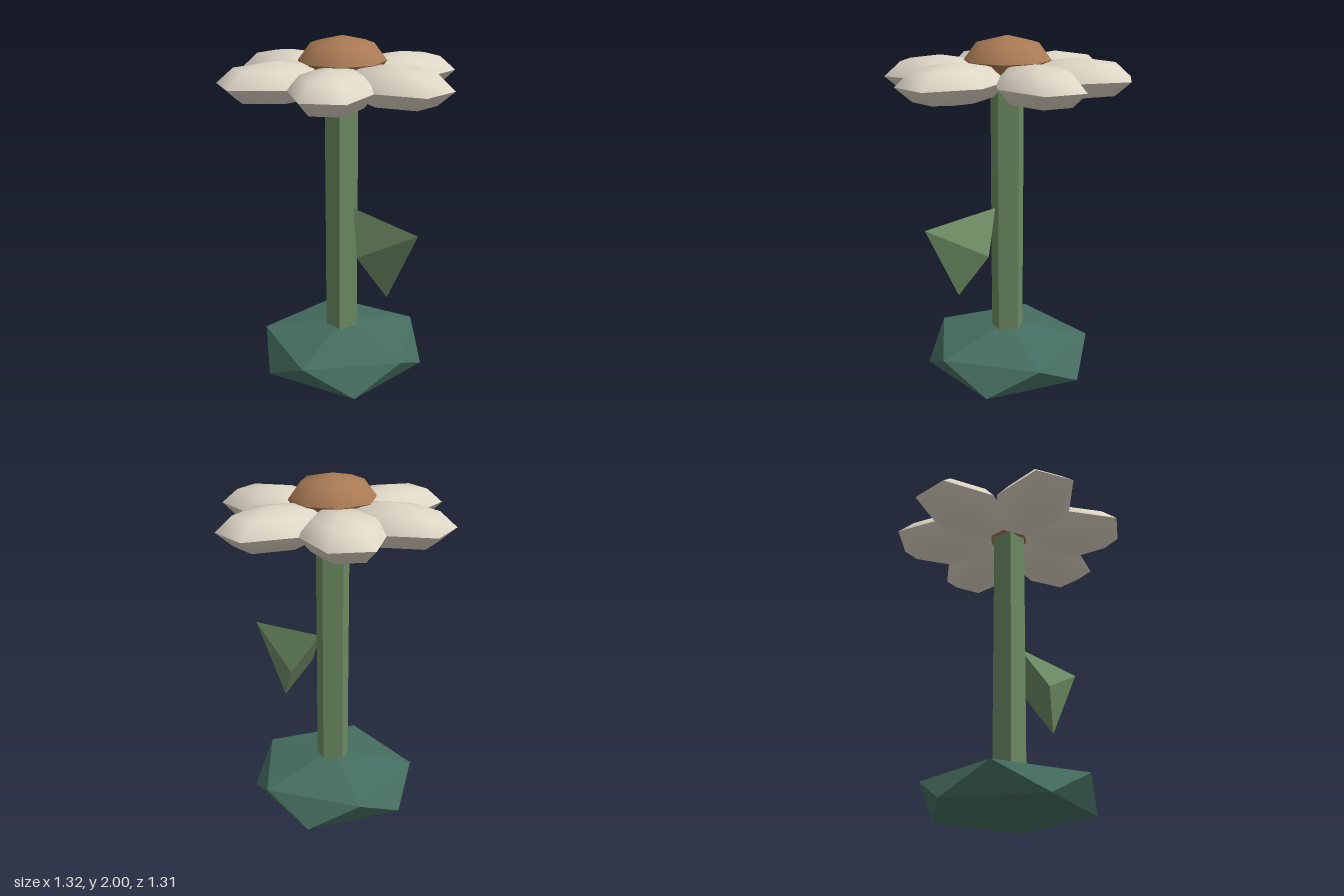
import * as THREE from 'three';
import { toCreasedNormals } from 'three/addons/utils/BufferGeometryUtils.js';
import { ConvexGeometry } from 'three/addons/geometries/ConvexGeometry.js';

function makeMaterial(name, color) {
  const material = new THREE.MeshStandardMaterial({ color });
  material.name = name;
  return material;
}

// low-poly ellipsoid: smooth over the dome, sharp around the rim
function ellipsoid(sides, rx, ry, rz, turn = 0) {
  const geo = new THREE.SphereGeometry(1, sides, 4);
  geo.rotateY(turn);
  geo.scale(rx, ry, rz);
  return toCreasedNormals(geo, 0.95);
}

export function createModel() {
  const group = new THREE.Group();
  const petalWhite = makeMaterial('petalWhite', 0xded6c6);
  const centreBrown = makeMaterial('centreBrown', 0xa97a54);
  const stemGreen = makeMaterial('stemGreen', 0x6c8b62);
  const baseGreen = makeMaterial('baseGreen', 0x456d60);

  const add = (name, geometry, material) => {
    const mesh = new THREE.Mesh(geometry, material);
    mesh.name = name;
    group.add(mesh);
    return mesh;
  };

  // base: flattened icosahedron standing on one point
  const points = [new THREE.Vector3(0, 0, 0), new THREE.Vector3(0, 0.344, 0)];
  for (let i = 0; i < 10; i++) {
    const a = (i * Math.PI) / 5;
    points.push(new THREE.Vector3(0.468 * Math.cos(a), i % 2 ? 0.096 : 0.248, 0.468 * Math.sin(a)));
  }
  add('base', new ConvexGeometry(points), baseGreen);

  // stem: five-sided post with one corner to the back
  const stem = new THREE.CylinderGeometry(0.095, 0.095, 1.6, 5, 1, false, Math.PI);
  add('stem', toCreasedNormals(stem, 0.3), stemGreen).position.y = 1.0;

  // leaf: flattened four-sided cone pointing outwards and up
  const leafGeo = new THREE.ConeGeometry(0.262, 0.393, 4);
  leafGeo.scale(1, 1, 0.4);
  const leaf = add('leaf', toCreasedNormals(leafGeo, 0.3), stemGreen);
  leaf.position.set(0.39, 0.937, 0);
  leaf.rotation.z = -Math.PI / 3;

  // flower centre
  add('flowerCentre', ellipsoid(8, 0.235, 0.13, 0.235), centreBrown).position.y = 1.87;

  // six petals at slightly uneven angles, flat edge outwards
  const petalGeo = ellipsoid(6, 0.326, 0.11, 0.223, Math.PI / 6);
  [-2.5, 52, 111, 175.5, 227, 285].forEach((degrees, i) => {
    const a = THREE.MathUtils.degToRad(degrees);
    const petal = add(`petal${i + 1}`, petalGeo, petalWhite);
    petal.position.set(0.37 * Math.cos(a), 1.78, 0.37 * Math.sin(a));
    petal.rotation.y = -a;
  });

  return group;
}
